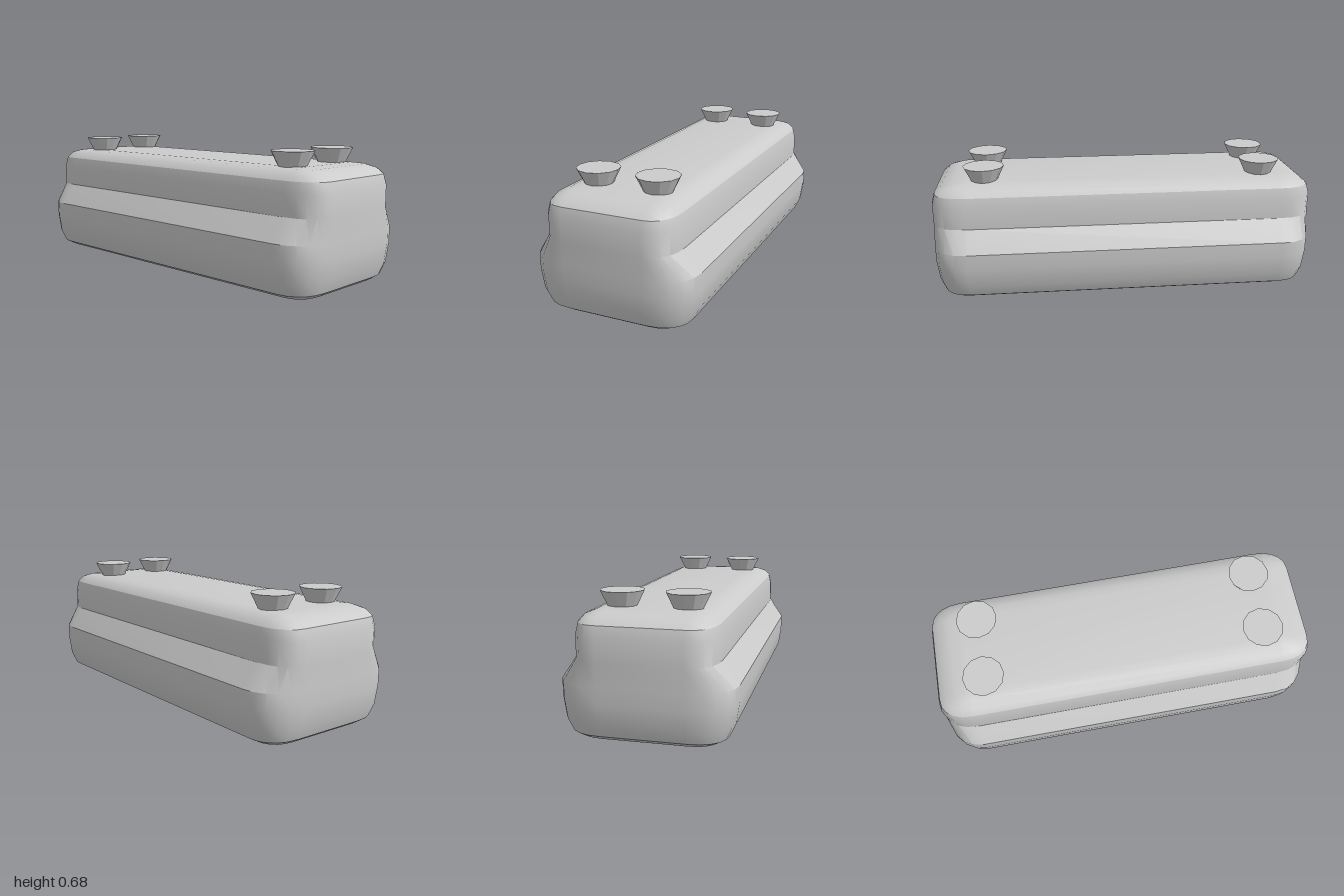
import * as THREE from 'three';
import { toCreasedNormals } from 'three/addons/utils/BufferGeometryUtils.js';

// Rounded body as level rings: [height, half width, half length]
const LEVELS = [
  [0, 0.2, 0.82], [0.004, 0.25, 0.87], [0.016, 0.325, 0.93], [0.04, 0.37, 0.965],
  [0.1, 0.398, 0.988], [0.2, 0.412, 1], [0.28, 0.412, 1], [0.39, 0.334, 1],
  [0.5, 0.334, 1], [0.552, 0.322, 0.985], [0.58, 0.297, 0.95],
  [0.597, 0.25, 0.89], [0.603, 0.2, 0.82],
];
const CORE_X = 0.2, CORE_Z = 0.82, STEPS = 5;

// Rectangle with bulging elliptical corners around a fixed core
function ring([y, hx, hz]) {
  const points = [];
  for (let q = 0; q < 4; q++) {
    const sx = q === 0 || q === 3 ? 1 : -1;
    const sz = q < 2 ? 1 : -1;
    for (let i = 0; i <= STEPS; i++) {
      const t = ((q % 2 ? STEPS - i : i) / STEPS) * Math.PI / 2;
      const c = i === (q % 2 ? 0 : STEPS) ? 0 : Math.cos(t) ** 0.87;
      const s = Math.sin(t) ** 0.87;
      points.push([sx * (CORE_X + (hx - CORE_X) * c), y, sz * (CORE_Z + (hz - CORE_Z) * s)]);
    }
  }
  return points;
}

function bodyGeometry() {
  const rings = LEVELS.map(ring);
  const n = rings[0].length;
  const vertices = [];
  const tri = (a, b, c) => {
    const same = (p, q) => p.every((v, k) => Math.abs(v - q[k]) < 1e-6);
    if (!same(a, b) && !same(b, c) && !same(a, c)) vertices.push(...a, ...b, ...c);
  };
  const last = rings.length - 1;
  for (let j = 0; j < n; j++) {
    const k = (j + 1) % n;
    for (let r = 0; r < last; r++) {
      const low = rings[r], high = rings[r + 1];
      tri(low[j], high[j], high[k]);
      tri(low[j], high[k], low[k]);
    }
    // Flat bottom and top
    tri([0, LEVELS[0][0], 0], rings[0][j], rings[0][k]);
    tri([0, LEVELS[last][0], 0], rings[last][k], rings[last][j]);
  }
  const geometry = new THREE.BufferGeometry();
  geometry.setAttribute('position', new THREE.Float32BufferAttribute(vertices, 3));
  return toCreasedNormals(geometry, 0.5);
}

export function createModel() {
  const model = new THREE.Group();
  model.name = 'roundedCase';
  const smooth = new THREE.MeshStandardMaterial({ color: 0xcccccc });
  const faceted = new THREE.MeshStandardMaterial({ color: 0xcccccc, flatShading: true });

  const body = new THREE.Mesh(bodyGeometry(), smooth);
  body.name = 'body';
  model.add(body);

  // Flared feet in pairs near both ends
  const footGeometry = new THREE.CylinderGeometry(0.106, 0.067, 0.08, 12);
  for (const x of [-0.157, 0.157]) {
    for (const z of [-0.73, 0.73]) {
      const foot = new THREE.Mesh(footGeometry, faceted);
      foot.name = `${z > 0 ? 'front' : 'back'}${x > 0 ? 'Left' : 'Right'}Foot`;
      foot.position.set(x, 0.635, z);
      model.add(foot);
    }
  }
  return model;
}
